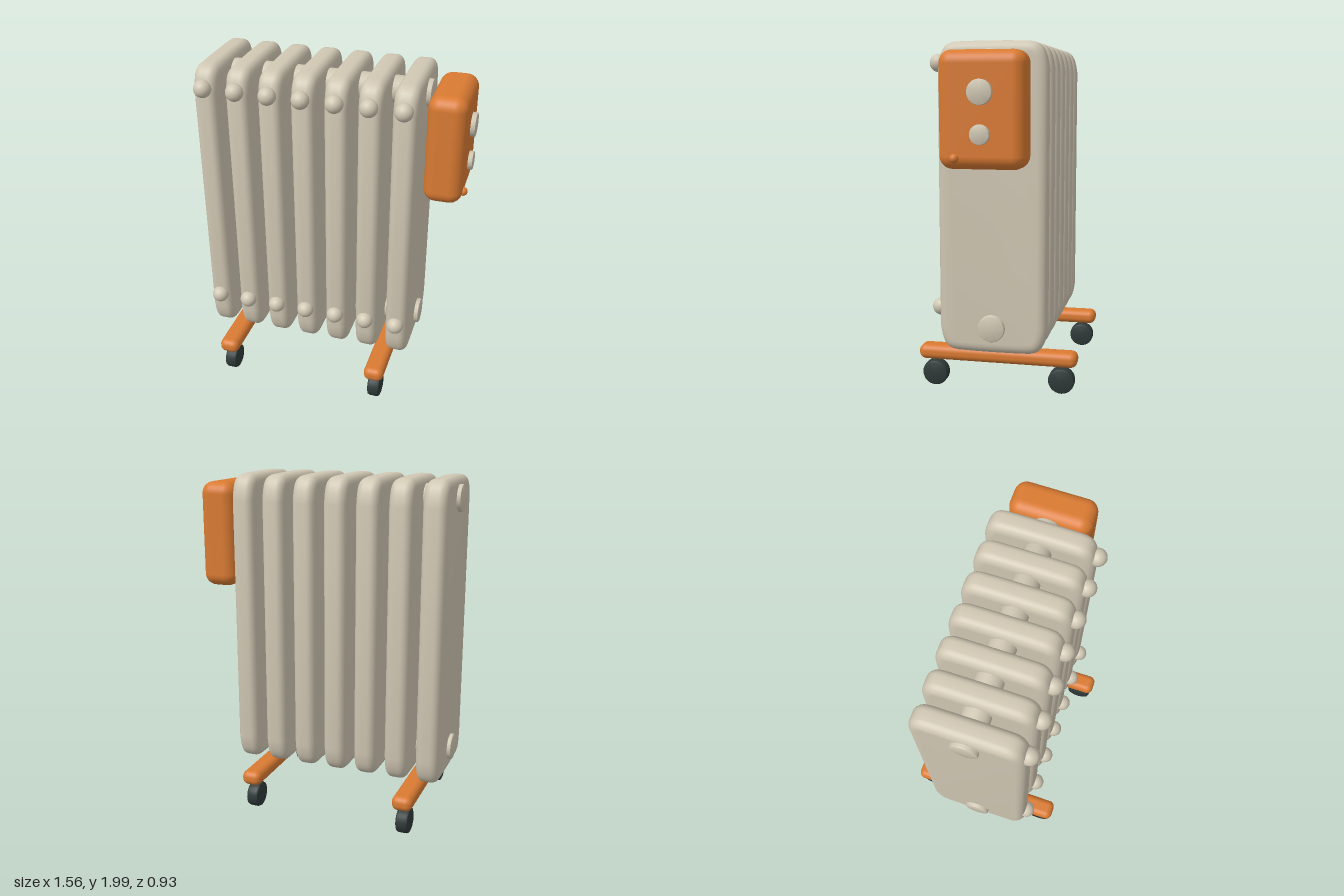
import * as THREE from 'three';
import { toCreasedNormals } from 'three/addons/utils/BufferGeometryUtils.js';
import { RoundedBoxGeometry } from 'three/addons/geometries/RoundedBoxGeometry.js';

const enamel = new THREE.MeshStandardMaterial({ name: 'cream enamel', color: 0xd0c7b3 });
const orange = new THREE.MeshStandardMaterial({ name: 'orange plastic', color: 0xd97a32 });
const rubber = new THREE.MeshStandardMaterial({ name: 'dark rubber', color: 0x2f3a39 });

// Flat fin with a softly crowned outline and a rounded rim, thickness along x
function finGeometry() {
  const w = 0.308, h = 0.87, cx = 0.11, cy = 0.15;
  const s = new THREE.Shape();
  s.moveTo(-w, -h + cy);
  s.bezierCurveTo(-w + 0.015, -h + 0.025, -w + 0.05, -h + 0.008, -w + cx, -h + 0.004);
  s.quadraticCurveTo(0, -h - 0.002, w - cx, -h + 0.004);
  s.bezierCurveTo(w - 0.05, -h + 0.008, w - 0.015, -h + 0.025, w, -h + cy);
  s.lineTo(w, h - cy);
  s.bezierCurveTo(w - 0.015, h - 0.025, w - 0.05, h - 0.008, w - cx, h - 0.004);
  s.quadraticCurveTo(0, h + 0.002, -w + cx, h - 0.004);
  s.bezierCurveTo(-w + 0.05, h - 0.008, -w + 0.015, h - 0.025, -w, h - cy);
  s.closePath();
  const depth = 0.045, rim = 0.045;
  const g = new THREE.ExtrudeGeometry(s, {
    depth, bevelThickness: rim, bevelSize: 0.055, bevelOffset: -0.055, bevelSegments: 6, curveSegments: 10,
  });
  g.translate(0, 0, -depth / 2);
  g.rotateY(Math.PI / 2);
  return toCreasedNormals(g, 0.7);
}

// Disc or rod lying along x with slightly eased edges
function rodGeometry(radius, length, ease) {
  const h = length / 2;
  const profile = [[0, -h], [radius - ease, -h], [radius - ease * 0.3, -h + ease * 0.3], [radius, -h + ease],
    [radius, h - ease], [radius - ease * 0.3, h - ease * 0.3], [radius - ease, h], [0, h]];
  const g = new THREE.LatheGeometry(profile.map(([x, y]) => new THREE.Vector2(x, y)), 32);
  g.rotateZ(-Math.PI / 2);
  return toCreasedNormals(g, 0.6);
}

export function createModel() {
  const model = new THREE.Group();
  model.name = 'oilRadiator';
  const add = (name, geometry, material, x, y, z) => {
    const mesh = new THREE.Mesh(geometry, material);
    mesh.name = name;
    mesh.position.set(x, y, z);
    model.add(mesh);
  };

  // Seven fins, each with two round studs on its front edge
  const fin = finGeometry();
  const stud = new THREE.SphereGeometry(0.05, 24, 16);
  for (let i = 0; i < 7; i++) {
    const x = -0.689 + i * 0.1875;
    add('fin', fin, enamel, x, 1.128, 0);
    add('upperStud', stud, enamel, x, 1.88, 0.31);
    add('lowerStud', stud, enamel, x, 0.505, 0.31);
  }

  // Connecting pipes running through all fins
  const pipe = rodGeometry(0.076, 1.31, 0.008);
  add('upperPipe', pipe, enamel, -0.125, 1.878, 0);
  add('lowerPipe', pipe, enamel, -0.125, 0.41, 0);

  // Control box with two dials and a small indicator
  add('controlBox', new RoundedBoxGeometry(0.215, 0.62, 0.47, 6, 0.07), orange, 0.642, 1.63, 0);
  add('upperDial', rodGeometry(0.067, 0.06, 0.006), enamel, 0.746, 1.722, 0);
  add('lowerDial', rodGeometry(0.053, 0.06, 0.006), enamel, 0.746, 1.505, 0);
  add('indicator', new THREE.SphereGeometry(0.025, 20, 14), orange, 0.75, 1.38, 0.14);

  // Two foot bars with a wheel near each end
  const bar = new RoundedBoxGeometry(0.12, 0.087, 0.934, 5, 0.038);
  const wheel = rodGeometry(0.076, 0.075, 0.016);
  for (const x of [-0.595, 0.343]) {
    add('footBar', bar, orange, x, 0.208, 0);
    for (const z of [-0.375, 0.375]) add('wheel', wheel, rubber, x, 0.08, z);
  }

  // Stand exactly on the ground, centred
  const box = new THREE.Box3().setFromObject(model);
  const c = box.getCenter(new THREE.Vector3());
  for (const part of model.children) part.position.sub(new THREE.Vector3(c.x, box.min.y, 0));
  return model;
}
